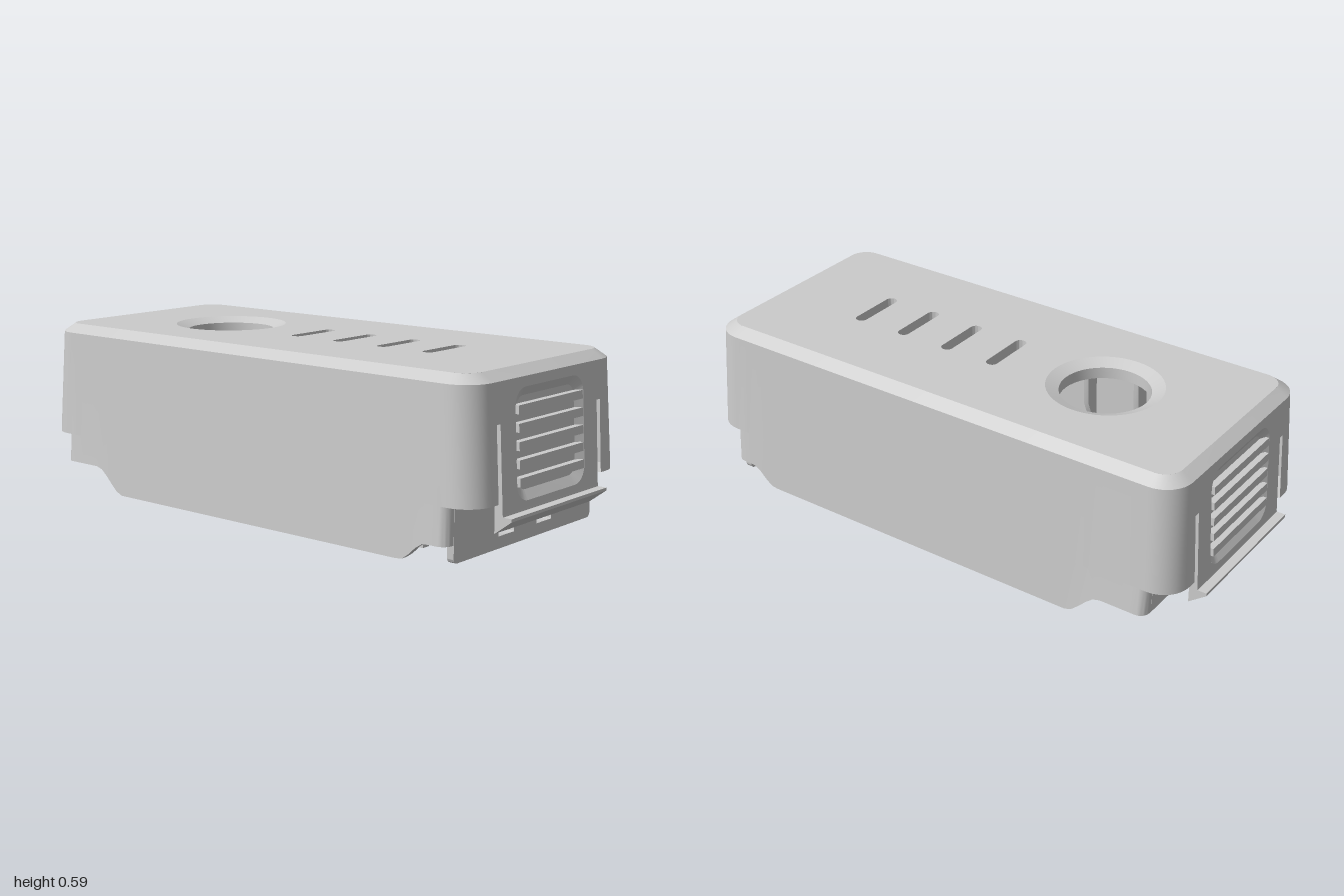
import * as THREE from 'three';
import { toCreasedNormals } from 'three/addons/utils/BufferGeometryUtils.js';

const material = new THREE.MeshStandardMaterial({ color: 0xcccccc, side: THREE.DoubleSide });
const ROOF = 0.555, SHOULDER = 0.565, TOP = 0.594, STEP = 0.19;

// Draft of the side walls and end walls with height
const wallX = y => 0.434 - 0.019 * y / SHOULDER;
const wallZ = y => 0.945 + 0.02 * (SHOULDER - y) / (SHOULDER - STEP);
const smooth = t => THREE.MathUtils.smoothstep(t, 0, 1);
// Lower edge of the side walls: raised at both ends
const bottomY = z => 0.065 * smooth((z - 0.69) / 0.1) + 0.09 * smooth((-z - 0.57) / 0.13);

function add(parent, name, geometry, x = 0, y = 0, z = 0) {
  const mesh = new THREE.Mesh(toCreasedNormals(geometry, 0.5), material);
  mesh.name = name;
  mesh.position.set(x, y, z);
  parent.add(mesh);
  return mesh;
}

// Skin between successive loops of equal length
function loft(loops, flip = false) {
  const n = loops[0].length, index = [];
  for (let j = 0; j < loops.length - 1; j++) {
    for (let i = 0; i < n - 1; i++) {
      const a = j * n + i, b = a + n;
      if (flip) index.push(a, a + 1, b, a + 1, b + 1, b);
      else index.push(a, b, a + 1, a + 1, b, b + 1);
    }
  }
  const g = new THREE.BufferGeometry().setFromPoints(loops.flat());
  g.setIndex(index);
  return g;
}

// Half of a rounded rectangle in plan, from the front end round one side to the back
function halfLoop(side, x0, hx, hz, r, y) {
  const pts = [[x0, hz]];
  for (let i = 0; i <= 8; i++) {
    const a = i / 8 * Math.PI / 2;
    pts.push([hx - r + r * Math.sin(a), hz - r + r * Math.cos(a)]);
  }
  for (let i = 1; i < 64; i++) pts.push([hx, (hz - r) * (1 - i / 32)]);
  for (let i = 0; i <= 8; i++) {
    const a = i / 8 * Math.PI / 2;
    pts.push([hx - r + r * Math.cos(a), -(hz - r + r * Math.sin(a))]);
  }
  pts.push([x0, -hz]);
  return pts.map(([x, z]) => {
    const h = typeof y === 'function' ? y(z) : y;
    return new THREE.Vector3(side * x, h, z);
  });
}

function roundRect(hx, hy, r, cx = 0, cy = 0, Type = THREE.Path) {
  const p = new Type(), q = Math.PI / 2;
  p.moveTo(cx + hx, cy - hy + r);
  [[1, 1], [-1, 1], [-1, -1], [1, -1]].forEach(([sx, sy], i) =>
    p.absarc(cx + sx * (hx - r), cy + sy * (hy - r), r, i * q, (i + 1) * q, false));
  p.closePath();
  return p;
}

const polygon = pts => new THREE.Shape(pts.map(([x, y]) => new THREE.Vector2(x, y)));
const extrude = (shape, depth) =>
  new THREE.ExtrudeGeometry(shape, { depth, bevelEnabled: false, curveSegments: 16 });

// Push a geometry built at z = 0 out onto the sloping end wall
function lean(g) {
  const p = g.attributes.position;
  for (let i = 0; i < p.count; i++) p.setZ(i, p.getZ(i) + wallZ(p.getY(i)));
  return g;
}

function buildEnd(name, wallBottom, windows) {
  const end = new THREE.Group();
  end.name = name;

  // Flexible latch panel, freed by a slot on each side
  const panel = polygon([[0.295, SHOULDER], [-0.295, SHOULDER], [-0.295, 0.435], [-0.275, 0.435],
    [-0.275, 0.145], [0.275, 0.145], [0.275, 0.435], [0.295, 0.435]]);
  panel.holes.push(roundRect(0.195, 0.178, 0.06, 0, 0.354));
  add(end, 'latchPanel', lean(extrude(panel, 0.03).translate(0, 0, -0.03)));

  // Dished grille with raised slats
  const ring = (hx, hy, r, z) => roundRect(hx, hy, r, 0, 0.354).getPoints(8)
    .map(p => new THREE.Vector3(p.x, p.y, z));
  add(end, 'grilleRim', lean(loft([ring(0.195, 0.178, 0.06, 0), ring(0.165, 0.148, 0.04, -0.018)], true)));
  const floor = new THREE.ShapeGeometry(roundRect(0.165, 0.148, 0.04, 0, 0.354, THREE.Shape), 8);
  add(end, 'grilleFloor', lean(floor.translate(0, 0, -0.018)));
  for (let i = 0; i < 5; i++) {
    const slat = new THREE.BoxGeometry(0.366, 0.028, 0.024);
    add(end, 'grilleSlat', lean(slat.translate(0, 0.466 - i * 0.057, -0.007)));
  }

  // Hook under the latch panel
  const hook = polygon([[0.937, 0.16], [0.937, 0.09], [1, 0.137], [1, 0.147], [0.968, 0.147], [0.966, 0.16]]);
  add(end, 'latchHook', extrude(hook, 0.55).rotateY(-Math.PI / 2).translate(0.275, 0, 0));

  // Inner end wall
  const wall = new THREE.Shape();
  const r = 0.02;
  wall.moveTo(0.39, ROOF).lineTo(-0.39, ROOF).lineTo(-0.39, wallBottom + r);
  wall.quadraticCurveTo(-0.39, wallBottom, -0.39 + r, wallBottom).lineTo(0.39 - r, wallBottom);
  wall.quadraticCurveTo(0.39, wallBottom, 0.39, wallBottom + r);
  if (windows) {
    for (const x of [-0.109, 0.107]) wall.holes.push(roundRect(0.044, 0.0225, 0.001, x, 0.0675));
  }
  add(end, 'endWall', extrude(wall, 0.025), 0, 0, 0.844);
  return end;
}

export function createModel() {
  const model = new THREE.Group();
  model.name = 'cover';

  for (const s of [1, -1]) {
    // Chamfer round the top
    add(model, 'topChamfer', loft([
      halfLoop(s, 0, 0.375, 0.905, 0.065, TOP),
      halfLoop(s, 0, wallX(SHOULDER), 0.945, 0.1, SHOULDER)], s < 0));

    // Side wall: outer skin, end ledge, skirt, then inner skin up to the roof
    add(model, 'sideWall', loft([
      halfLoop(s, 0.295, wallX(SHOULDER), 0.945, 0.1, SHOULDER),
      halfLoop(s, 0.295, wallX(STEP), 0.965, 0.1, STEP),
      halfLoop(s, 0.295, wallX(STEP), 0.868, 0.035, STEP),
      halfLoop(s, 0.295, wallX(0), 0.868, 0.035, bottomY),
      halfLoop(s, 0.295, wallX(0) - 0.025, 0.845, 0.015, bottomY),
      halfLoop(s, 0.295, wallX(ROOF) - 0.025, 0.845, 0.015, ROOF),
      halfLoop(s, 0.295, 0.36, 0.83, 0.015, ROOF)], s < 0));

    // Tapered ribs inside the side walls
    for (const z of [0.61, 0.37, -0.15, -0.36]) {
      const rib = polygon([[0.4, ROOF], [0.33, ROOF], [0.345, 0.27], [0.375, 0.2], [0.405, 0.2]]
        .map(([x, y]) => [s * x, y]));
      add(model, 'sideRib', extrude(rib, 0.02), 0, 0, z - 0.01);
    }

    // Small catches low on the side walls
    for (const z of [0.73, 0.55, -0.32, -0.49]) {
      add(model, 'catch', new THREE.BoxGeometry(0.03, 0.018, 0.08), s * 0.4, 0.08, z);
      for (const d of [-0.032, 0.032]) {
        add(model, 'catchFoot', new THREE.BoxGeometry(0.03, 0.035, 0.016), s * 0.4, 0.062, z + d);
      }
    }

    // Gusset inside the front wall
    const gusset = polygon([[0.846, ROOF], [0.77, ROOF], [0.77, 0.3], [0.8, 0.25], [0.846, 0.25]]);
    add(model, 'frontGusset', extrude(gusset, 0.02).rotateY(-Math.PI / 2), s * 0.25 + 0.01, 0, 0);

    // Hollow screw post with fins
    const tube = [[0.045, ROOF], [0.034, 0.2], [0.016, 0.2], [0.016, 0.3], [0, 0.3]]
      .map(([x, y]) => new THREE.Vector2(x, y));
    add(model, 'screwPost', new THREE.LatheGeometry(tube, 24), s * 0.23, 0, 0.27);
    for (const turn of [0, Math.PI / 2]) {
      for (const d of [-0.042, 0.042]) {
        const fin = new THREE.BoxGeometry(0.03, 0.29, 0.014).translate(d, 0, 0).rotateY(turn);
        add(model, 'postFin', fin, s * 0.23, 0.41, 0.27);
      }
    }
  }

  // Top plate with a round opening and four slots
  const top = roundRect(0.375, 0.905, 0.065, 0, 0, THREE.Shape);
  top.holes.push(new THREE.Path().absarc(0, 0.435, 0.2, 0, Math.PI * 2, false));
  for (let i = 0; i < 4; i++) top.holes.push(roundRect(0.105, 0.021, 0.0205, 0, 0.035 - i * 0.19));
  const topPlate = new THREE.ExtrudeGeometry(top, { depth: TOP - ROOF, bevelEnabled: false, curveSegments: 24 });
  add(model, 'topPlate', topPlate.rotateX(-Math.PI / 2), 0, ROOF, 0);

  // Dished collar of the round opening
  const collar = [[0.2, TOP], [0.155, 0.575], [0.155, 0.535], [0.18, 0.535], [0.2, ROOF]]
    .map(([x, y]) => new THREE.Vector2(x, y));
  add(model, 'openingCollar', new THREE.LatheGeometry(collar, 48), 0, 0, -0.435);

  // Latching ends
  model.add(buildEnd('frontEnd', 0.005, true));
  const back = buildEnd('backEnd', 0.09, false);
  back.rotation.y = Math.PI;
  model.add(back);
  return model;
}
